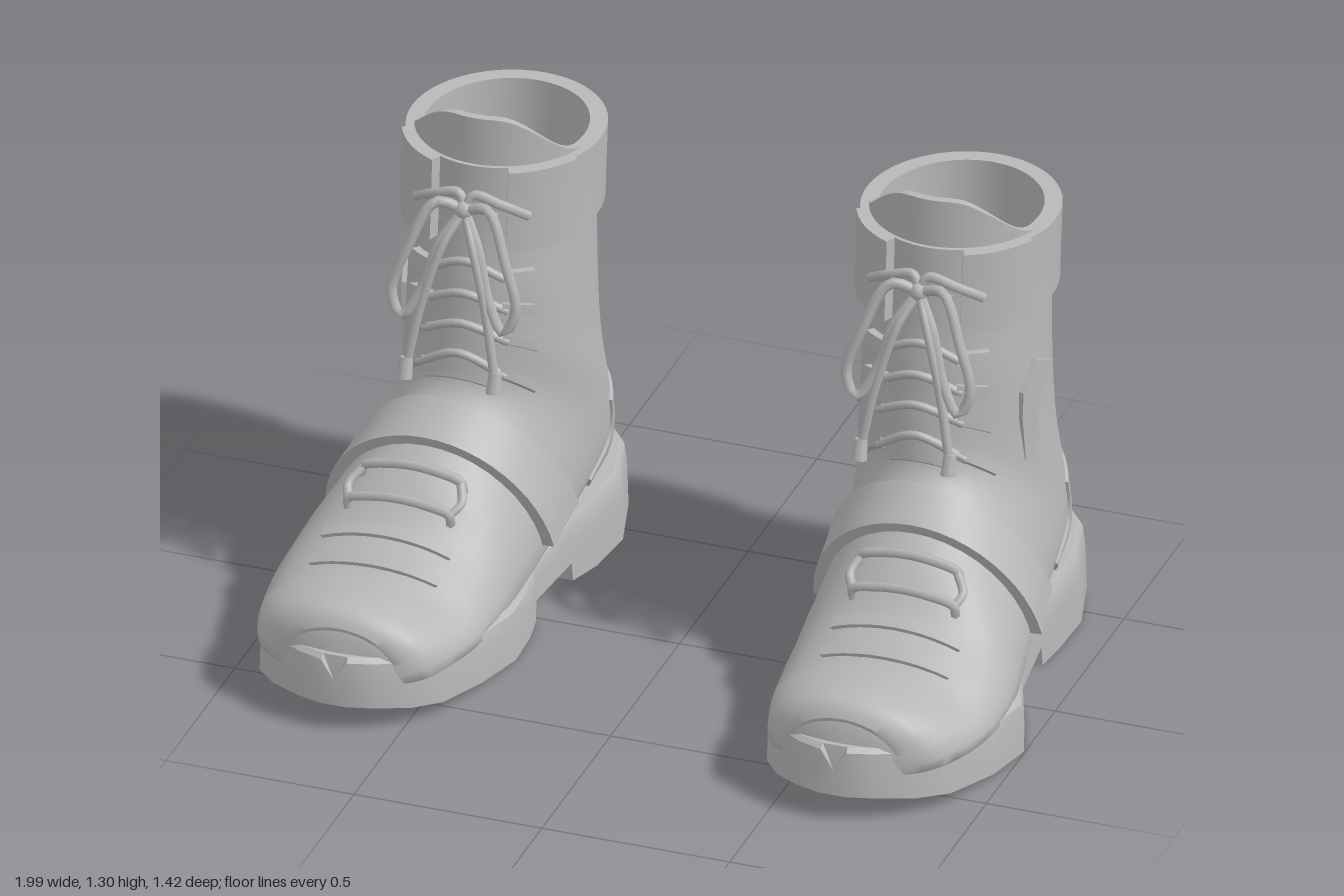
import * as THREE from 'three';
import { mergeVertices, toCreasedNormals } from 'three/addons/utils/BufferGeometryUtils.js';

const V = (x, y, z) => new THREE.Vector3(x, y, z);
const PI = Math.PI;

// Rings of the upper, toe to cuff: front z, front y, back z, back y, half width, centre x, widest point
const RINGS = [
  [.675, .16, .67, .10, .04, .67, .85],
  [.66, .22, .65, .10, .12, .67, .85],
  [.64, .265, .62, .10, .18, .67, .85],
  [.60, .288, .58, .10, .225, .675, .85],
  [.52, .28, .50, .10, .26, .68, .85],
  [.42, .265, .40, .10, .285, .68, .85],
  [.34, .30, .30, .10, .295, .68, .85],
  [.24, .35, .20, .10, .295, .675, .85],
  [.16, .42, .10, .10, .288, .665, .85],
  [.08, .48, -.06, .10, .275, .65, .82],
  [0, .54, -.20, .10, .265, .635, .78],
  [-.055, .595, -.45, .10, .262, .62, .68],
  [-.07, .66, -.66, .12, .258, .61, .6],
  [-.08, .72, -.68, .30, .25, .605, .54],
  [-.09, .78, -.655, .50, .238, .605, .5],
  [-.10, .86, -.64, .75, .232, .605, .5],
  [-.12, .97, -.645, .96, .228, .605, .5],
  [-.14, 1.18, -.655, 1.165, .23, .605, .5],
];
const LAST = RINGS.length - 1;

// Smooth blend of the ring table
function ringAt(u) {
  const i = Math.min(Math.floor(Math.max(u, 0)), LAST - 1), t = u - i;
  const r = k => RINGS[Math.min(Math.max(k, 0), LAST)];
  return r(i).map((b, k) => {
    const a = r(i - 1)[k], c = r(i + 1)[k], d = r(i + 2)[k];
    return b + .5 * t * (c - a + t * (2 * a - 5 * b + 4 * c - d + t * (3 * (b - c) + d - a)));
  });
}

// Point on the upper: u runs toe to cuff, a runs round from the front, off lifts it
function skin(u, a, off = 0) {
  const [fz, fy, bz, by, hw, cx, c] = ringAt(u);
  const v = Math.cos(a), t = v > 0 ? c * (1 - v) : c - (1 - c) * v;
  const p = V(cx + hw * Math.sin(a), fy + (by - fy) * t, fz + (bz - fz) * t);
  const mid = V(cx, fy + (by - fy) * c, fz + (bz - fz) * c);
  return p.add(p.clone().sub(mid).normalize().multiplyScalar(off));
}

// Surface from a rule of two steps
function grid(rule, n, m, crease = .8) {
  const pos = [], idx = [];
  for (let i = 0; i <= n; i++) for (let j = 0; j <= m; j++) pos.push(...rule(i, j).toArray());
  for (let i = 0; i < n; i++) for (let j = 0; j < m; j++) {
    const a = i * (m + 1) + j, b = a + m + 1;
    idx.push(a, b, a + 1, b, b + 1, a + 1);
  }
  let g = new THREE.BufferGeometry();
  g.setAttribute('position', new THREE.Float32BufferAttribute(pos, 3));
  g.setIndex(idx);
  g = mergeVertices(g);
  g.computeVertexNormals();
  return toCreasedNormals(g, crease);
}

// Raised panel lying on the upper, with its rim closed down to the skin
function panel(u0, u1, a0, a1, off, n = 8, m = 24) {
  return grid((i, j) => {
    const rim = i === 0 || j === 0 || i === n + 2 || j === m + 2;
    const s = Math.min(Math.max(i - 1, 0), n) / n, t = Math.min(Math.max(j - 1, 0), m) / m;
    const a = a0 + (a1 - a0) * t, top = typeof u1 === 'function' ? u1(a) : u1;
    return skin(u0 + (top - u0) * s, a, rim ? -.005 : off);
  }, n + 2, m + 2, .6);
}

const tube = (pts, r, n = 24) =>
  new THREE.TubeGeometry(new THREE.CatmullRomCurve3(pts), n, r, 6, false);

// Sole stations: z, inner x, outer x, underside y
const SOLE = [
  [-.71, .54, .68, .04], [-.685, .43, .79, .03], [-.6, .355, .865, .015], [-.45, .315, .905, 0],
  [-.3, .33, .9, 0], [-.21, .36, .89, 0], [-.2, .36, .89, .055], [0, .38, .915, .05],
  [.02, .375, .92, 0], [.1, .36, .955, 0], [.22, .355, .997, 0], [.38, .385, .975, .015],
  [.54, .43, .92, .035], [.62, .485, .855, .05], [.68, .56, .77, .065], [.708, .63, .70, .07],
];
const SOLE_TOP = [[-.71, .215], [-.45, .2], [-.2, .175], [0, .145], [.2, .14], [.4, .155], [.71, .2]];
function soleTop(z) {
  const k = Math.max(1, SOLE_TOP.findIndex(p => p[0] >= z));
  const [a, b] = [SOLE_TOP[k - 1], SOLE_TOP[k]];
  return a[1] + (b[1] - a[1]) * (z - a[0]) / (b[0] - a[0]);
}
function soleGeometry() {
  const levels = [[0, 1], [.6, .99], [.92, .97], [1, .93]];
  const last = SOLE.length - 1;
  return grid((i, j) => {
    const [z, x0, x1, yb] = SOLE[Math.min(Math.max(i - 1, 0), last)];
    const yt = soleTop(z), cx = (x0 + x1) / 2;
    if (i === 0 || i === last + 2) return V(cx, (yb + yt) / 2, z * .985);
    const k = j % 8, [h, inset] = levels[k < 4 ? k : 7 - k];
    const half = (x1 - x0) / 2 * inset;
    return V(cx + (k < 4 ? half : -half), yb + (yt - yb) * h, z * (.5 + inset / 2));
  }, last + 2, 8, .7);
}

// All parts of one boot, as name and geometry
function bootParts() {
  const parts = [];
  const add = (name, g) => parts.push([name, g]);

  add('sole', soleGeometry());
  add('upper', grid((i, j) => skin(i / 3, j / 40 * 2 * PI), LAST * 3, 40, 1.2));
  add('toeCap', panel(1.6, 4.8, -1.15, 1.15, .008));
  add('instepStrap', panel(9.05, 10.3, -1.5, 1.5, .03));
  add('heelCounter', panel(10.9, a => 12.3 + 1.6 * Math.abs(Math.sin((Math.abs(a - PI) - PI / 2))), .55 * PI, 1.45 * PI, .008));

  // Lining, rim and insole
  add('lining', grid((i, j) => {
    const a = j / 40 * 2 * PI;
    if (i === 0) return skin(LAST, a, 0);
    if (i === 9) return V(.605, .5, -.38);
    return skin(LAST - (i - 1) * .5, a, -.025);
  }, 9, 40, .9));

  // Cuff and its front flaps
  add('cuff', panel(16, LAST, .3 * PI, 1.7 * PI, .02, 4, 36));
  for (const s of [-1, 1]) add('cuffFlap', panel(15.95, LAST, s * .13 * PI, s * .36 * PI, .03, 4, 10));

  // Tongue rising above the cuff
  add('tongue', grid((i, j) => {
    const a = (j / 24 * 2 - 1) * 1.45;
    const rise = .125 * (1 - THREE.MathUtils.smoothstep(Math.abs(a), .25, 1.35));
    const p = skin(LAST, a, i < 2 ? -.002 : -.025);
    p.y += i === 1 || i === 2 ? rise : -.12;
    if (i === 1 || i === 2) p.z -= rise * .15;
    return p;
  }, 3, 24, .7));

  // Bent patch on the outer side
  const patch = new THREE.Shape([[.25, .75], [.31, .82], [.38, .785], [.315, .68], [.325, .54], [.26, .555], [.245, .68]]
    .map(([x, y]) => new THREE.Vector2(x - .31, y)));
  add('sidePatch', new THREE.ExtrudeGeometry(patch, { depth: .045, bevelEnabled: false })
    .rotateY(PI / 2 - .22).translate(.797, 0, -.31));

  // Laces across the instep, with eyelet tabs
  for (const u of [7.4, 8.3]) {
    const pts = [-.5, -.44, -.2, 0, .2, .44, .5].map((a, k) => skin(u, a, k % 6 ? .02 : -.01));
    add('instepLace', tube(pts, .013));
  }
  add('instepLace', tube([skin(7.4, -.44, .018), skin(7.8, -.5, .022), skin(8.3, -.44, .018)], .012));
  add('instepLace', tube([skin(7.4, .44, .018), skin(7.8, .5, .022), skin(8.3, .44, .018)], .012));
  for (const u of [5.6, 6.5]) add('vampCrease', panel(u, u + .3, -.6, .6, .01, 2, 10));

  // Tongue strip, crossed laces and eyelet tabs up the shaft
  add('frontStrip', panel(11.2, 16.4, -.32, .32, .008, 14, 6));
  for (const u of [12.2, 13.6, 14.8, 15.7]) {
    add('shaftLace', tube([skin(u - .45, -.45, .015), skin(u, 0, .02), skin(u - .45, .45, .015)], .011, 12));
    for (const s of [-1, 1]) add('eyeletTab', panel(u - .55, u - .2, s * .4, s * .72, .022, 2, 4));
  }

  // Bow with loops, tails and tips
  const knot = V(.605, 1.08, -.09);
  add('bowKnot', new THREE.SphereGeometry(.026, 10, 8).translate(...knot.toArray()));
  for (const s of [-1, 1]) {
    const at = (x, y, z) => V(.605 + s * x, y, z);
    add('bowLoop', tube([knot, at(.07, 1.1, -.07), at(.13, .98, -.03), at(.165, .86, -.01),
      at(.135, .8, 0), at(.09, .87, -.02), at(.05, 1, -.05), knot], .014, 32));
    add('bowTail', tube([knot, at(.04, 1, -.04), at(.085, .84, -.01), at(.115, .68, .01)], .012));
    add('bowTail', tube([knot, at(.02, 1.12, -.1), at(.09, 1.1, -.11), at(.15, 1.06, -.15)], .013));
    add('laceTip', new THREE.CylinderGeometry(.017, .02, .055, 8).rotateX(-.3).translate(.605 + s * .118, .66, .015));
  }
  return parts;
}

// Mirror a geometry across x and turn its faces back outward
function mirrored(geometry) {
  const g = mergeVertices(geometry).scale(-1, 1, 1), ix = g.index;
  for (let i = 0; i < ix.count; i += 3) {
    const a = ix.getX(i);
    ix.setX(i, ix.getX(i + 1));
    ix.setX(i + 1, a);
  }
  return g;
}

export function createModel() {
  const grey = new THREE.MeshStandardMaterial({ color: 0xb8b8b8, side: THREE.DoubleSide });
  grey.name = 'grey leather';
  const model = new THREE.Group();
  model.name = 'boots';
  const parts = bootParts();
  for (const side of ['left', 'right']) {
    const boot = new THREE.Group();
    boot.name = side + 'Boot';
    for (const [name, g] of parts) {
      const mesh = new THREE.Mesh(side === 'left' ? g : mirrored(g), grey);
      mesh.name = name;
      boot.add(mesh);
    }
    model.add(boot);
  }
  return model;
}
